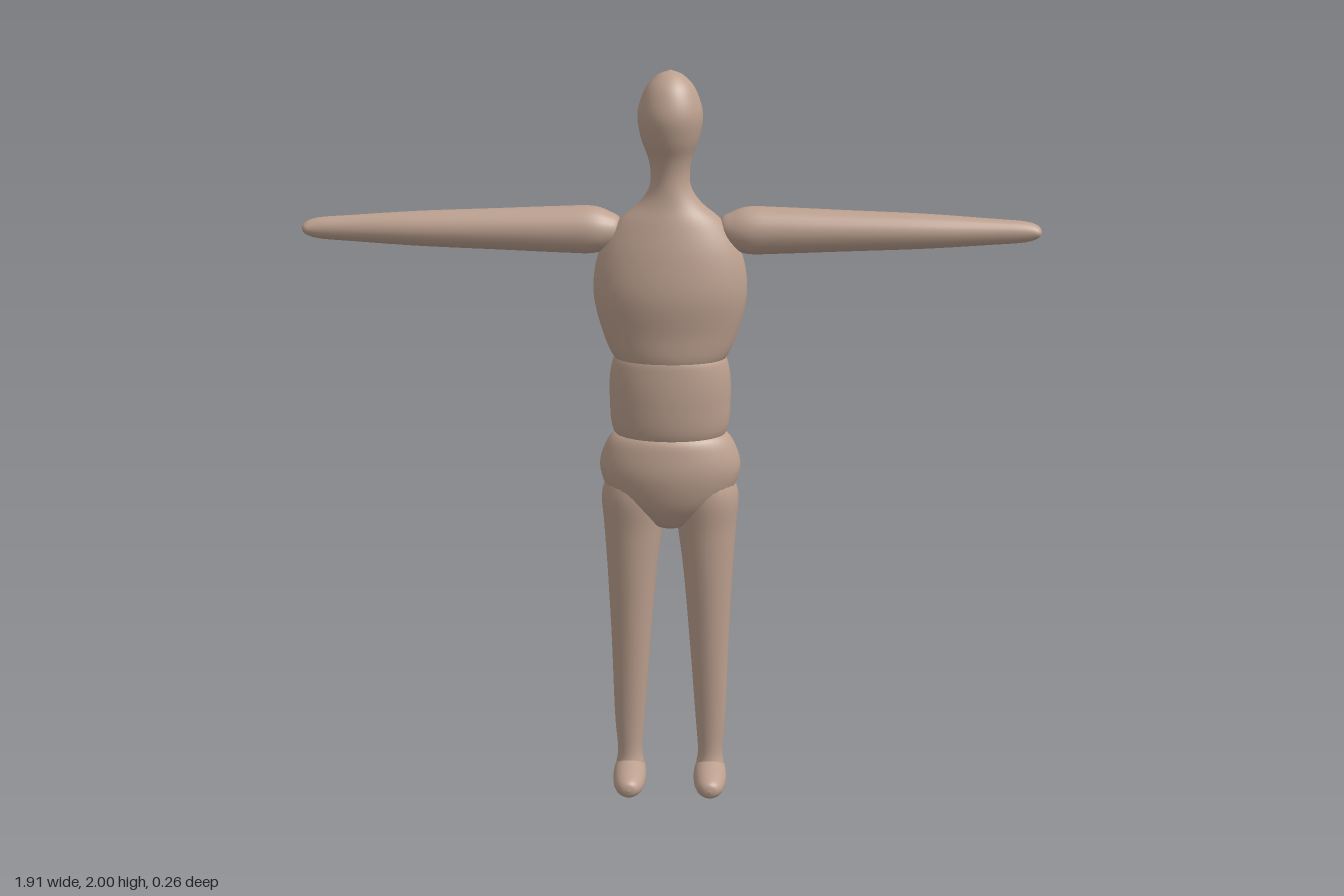
import * as THREE from 'three';

const skin = new THREE.MeshStandardMaterial({ color: 0xbca08f });
skin.name = 'skin';

// Smooth body part along y from sections [y, centreX, centreZ, radiusX, radiusZ]
function loft(name, sections, sides = 32, steps = 5) {
  const centres = new THREE.CatmullRomCurve3(
    sections.map(([y, cx, cz]) => new THREE.Vector3(cx, y, cz)), false, 'catmullrom', 0.5);
  const radii = new THREE.CatmullRomCurve3(
    sections.map(([, , , rx, rz]) => new THREE.Vector3(rx, 0, rz)), false, 'catmullrom', 0.5);
  const rows = (sections.length - 1) * steps;
  const geometry = new THREE.CylinderGeometry(1, 1, 1, sides, rows, true);
  const pos = geometry.attributes.position;
  for (let row = 0; row <= rows; row++) {
    const c = centres.getPoint(1 - row / rows);
    const r = radii.getPoint(1 - row / rows);
    for (let i = 0; i <= sides; i++) {
      const a = (i % sides) / sides * Math.PI * 2;
      pos.setXYZ(row * (sides + 1) + i,
        c.x + Math.max(r.x, 0.0005) * Math.sin(a), c.y, c.z + Math.max(r.z, 0.0005) * Math.cos(a));
    }
  }
  geometry.computeVertexNormals();
  // Join the normals along the seam
  const n = geometry.attributes.normal;
  for (let row = 0; row <= rows; row++) {
    const a = row * (sides + 1), b = a + sides;
    const v = new THREE.Vector3().fromBufferAttribute(n, a)
      .add(new THREE.Vector3().fromBufferAttribute(n, b)).normalize();
    n.setXYZ(a, v.x, v.y, v.z);
    n.setXYZ(b, v.x, v.y, v.z);
  }
  const mesh = new THREE.Mesh(geometry, skin);
  mesh.name = name;
  return mesh;
}

export function createModel() {
  const model = new THREE.Group();
  model.name = 'figure';

  // Head, neck and chest in one flowing shape
  model.add(loft('headAndChest', [
    [1.2, 0, -0.005, 0, 0],
    [1.21, 0, -0.005, 0.09, 0.06],
    [1.25, 0, -0.005, 0.145, 0.094],
    [1.33, 0, -0.007, 0.18, 0.103],
    [1.43, 0, -0.007, 0.2, 0.112],
    [1.53, 0, -0.008, 0.185, 0.1],
    [1.61, 0, -0.006, 0.138, 0.078],
    [1.66, 0, -0.003, 0.082, 0.06],
    [1.7, 0, -0.002, 0.055, 0.052],
    [1.74, 0, -0.002, 0.05, 0.05],
    [1.78, 0, -0.003, 0.057, 0.058],
    [1.83, 0, -0.004, 0.075, 0.077],
    [1.89, 0, -0.005, 0.083, 0.087],
    [1.95, 0, -0.005, 0.065, 0.068],
    [1.985, 0, -0.005, 0.035, 0.036],
    [2, 0, -0.005, 0, 0],
  ], 40));

  // Abdomen, pinched above and below
  model.add(loft('abdomen', [
    [1, 0, -0.005, 0, 0],
    [1.01, 0, -0.005, 0.1, 0.06],
    [1.05, 0, -0.005, 0.15, 0.095],
    [1.14, 0, -0.006, 0.16, 0.104],
    [1.22, 0, -0.005, 0.156, 0.1],
    [1.265, 0, -0.005, 0.135, 0.09],
    [1.285, 0, -0.005, 0.07, 0.05],
    [1.29, 0, -0.005, 0, 0],
  ], 40));

  // Pelvis
  model.add(loft('pelvis', [
    [0.775, 0, -0.005, 0, 0],
    [0.785, 0, -0.005, 0.045, 0.045],
    [0.82, 0, -0.005, 0.1, 0.075],
    [0.87, 0, -0.006, 0.158, 0.1],
    [0.94, 0, -0.007, 0.187, 0.114],
    [1, 0, -0.006, 0.177, 0.108],
    [1.045, 0, -0.005, 0.145, 0.092],
    [1.06, 0, -0.005, 0.08, 0.05],
    [1.062, 0, -0.005, 0, 0],
  ], 40));

  for (const s of [1, -1]) {
    const side = s > 0 ? 'left' : 'right';

    // Leg
    model.add(loft(side + 'Leg', [
      [0.05, s * 0.112, -0.003, 0, 0],
      [0.06, s * 0.112, -0.003, 0.037, 0.042],
      [0.11, s * 0.112, -0.003, 0.034, 0.034],
      [0.22, s * 0.112, -0.003, 0.042, 0.037],
      [0.45, s * 0.107, -0.004, 0.054, 0.053],
      [0.65, s * 0.103, -0.004, 0.067, 0.067],
      [0.78, s * 0.099, -0.005, 0.079, 0.075],
      [0.88, s * 0.096, -0.005, 0.086, 0.082],
      [0.95, s * 0.085, -0.005, 0.06, 0.06],
      [0.96, s * 0.085, -0.005, 0, 0],
    ], 24));

    // Foot, laid forward along z
    const foot = loft(side + 'Foot', [
      [-0.072, 0, -0.045, 0, 0],
      [-0.065, 0, -0.045, 0.022, 0.018],
      [-0.04, 0, -0.045, 0.037, 0.033],
      [0.01, 0, -0.046, 0.045, 0.044],
      [0.06, 0, -0.043, 0.045, 0.041],
      [0.105, 0, -0.044, 0.037, 0.032],
      [0.13, 0, -0.046, 0.022, 0.02],
      [0.137, 0, -0.046, 0, 0],
    ], 24);
    foot.rotation.x = Math.PI / 2;
    foot.position.x = s * 0.112;
    model.add(foot);

    // Arm, stretched out sideways and tapering to a blunt hand
    const arm = loft(side + 'Arm', [
      [0.125, 0, -0.015, 0, 0],
      [0.13, 0, -0.015, 0.03, 0.03],
      [0.155, 0, -0.015, 0.046, 0.048],
      [0.2, 0, -0.015, 0.061, 0.06],
      [0.28, 0, -0.015, 0.06, 0.06],
      [0.45, 0, -0.015, 0.053, 0.055],
      [0.65, 0, -0.015, 0.045, 0.048],
      [0.82, 0, -0.014, 0.034, 0.034],
      [0.91, 0, -0.014, 0.027, 0.028],
      [0.945, 0, -0.014, 0.015, 0.023],
      [0.954, 0, -0.014, 0, 0],
    ], 24);
    arm.rotation.z = -s * Math.PI / 2;
    arm.position.y = 1.588;
    model.add(arm);
  }
  return model;
}
